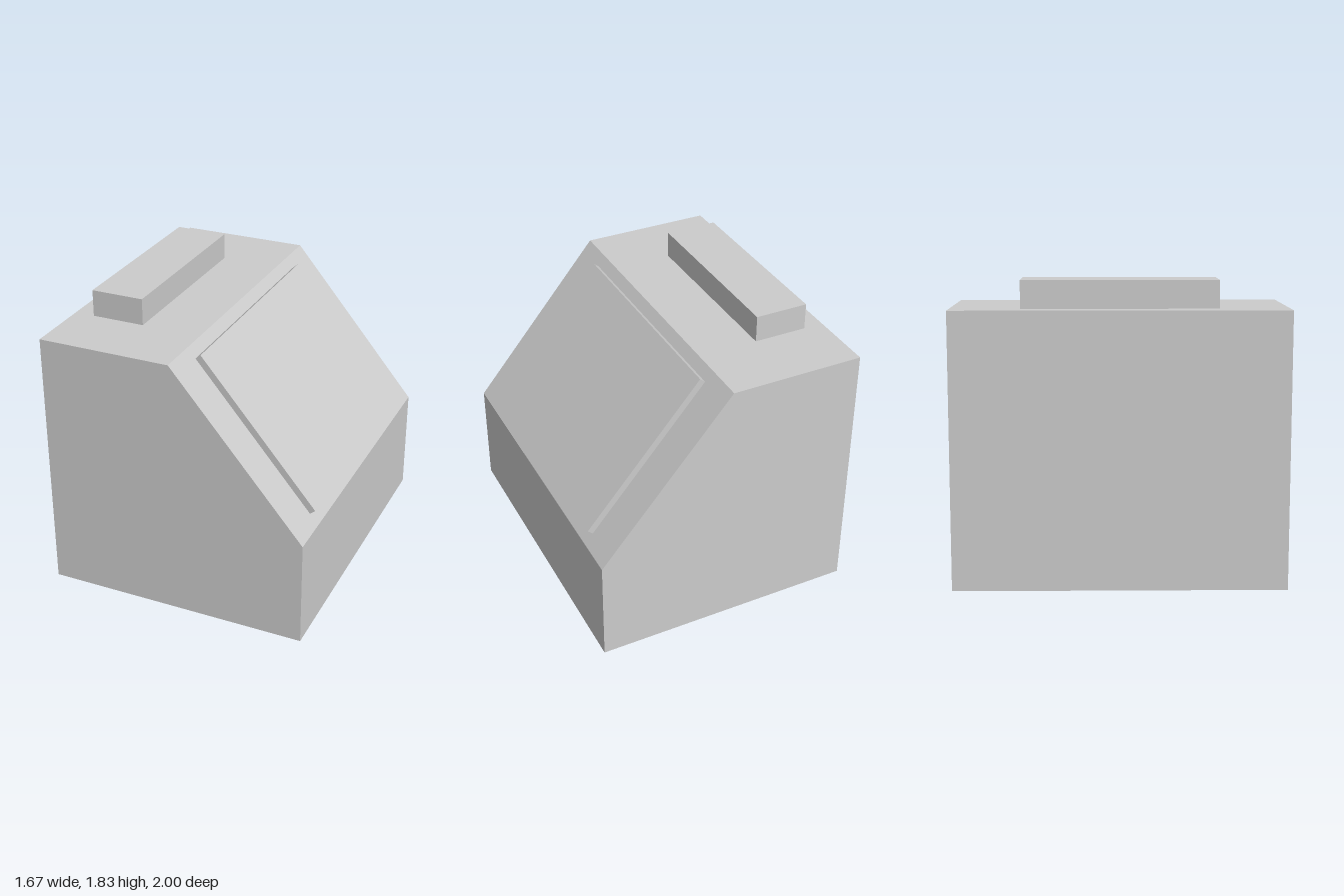
import * as THREE from 'three';

export function createModel() {
  const model = new THREE.Group();
  const grey = new THREE.MeshStandardMaterial({ color: 0xcccccc });
  grey.name = 'light grey';

  const add = (name, geometry, x = 0, y = 0, z = 0) => {
    const mesh = new THREE.Mesh(geometry, grey);
    mesh.name = name;
    mesh.position.set(x, y, z);
    model.add(mesh);
    return mesh;
  };

  // Housing: side profile with a sloping face, extruded along z
  const slopeTop = new THREE.Vector2(0, 1.667);
  const slopeBottom = new THREE.Vector2(0.833, 0.675);
  const profile = new THREE.Shape([
    new THREE.Vector2(-0.833, 0),
    new THREE.Vector2(0.833, 0),
    slopeBottom,
    slopeTop,
    new THREE.Vector2(-0.833, 1.667),
  ]);
  const housing = new THREE.ExtrudeGeometry(profile, { depth: 2, bevelEnabled: false });
  housing.translate(0, 0, -1);
  add('housing', housing);

  // Raised panel lying on the slope
  const thickness = 0.042;
  const along = slopeBottom.clone().sub(slopeTop);
  const centre = slopeTop.clone().lerp(slopeBottom, 0.4975);
  const panelGeometry = new THREE.BoxGeometry(1.132, thickness, 1.5);
  panelGeometry.translate(0, thickness / 2, 0);
  const panel = add('slopePanel', panelGeometry, centre.x, centre.y, 0);
  panel.rotation.z = Math.atan2(along.y, along.x);

  // Block on the roof
  add('roofBlock', new THREE.BoxGeometry(0.333, 0.167, 1.167), -0.542, 1.7505, 0);

  return model;
}
